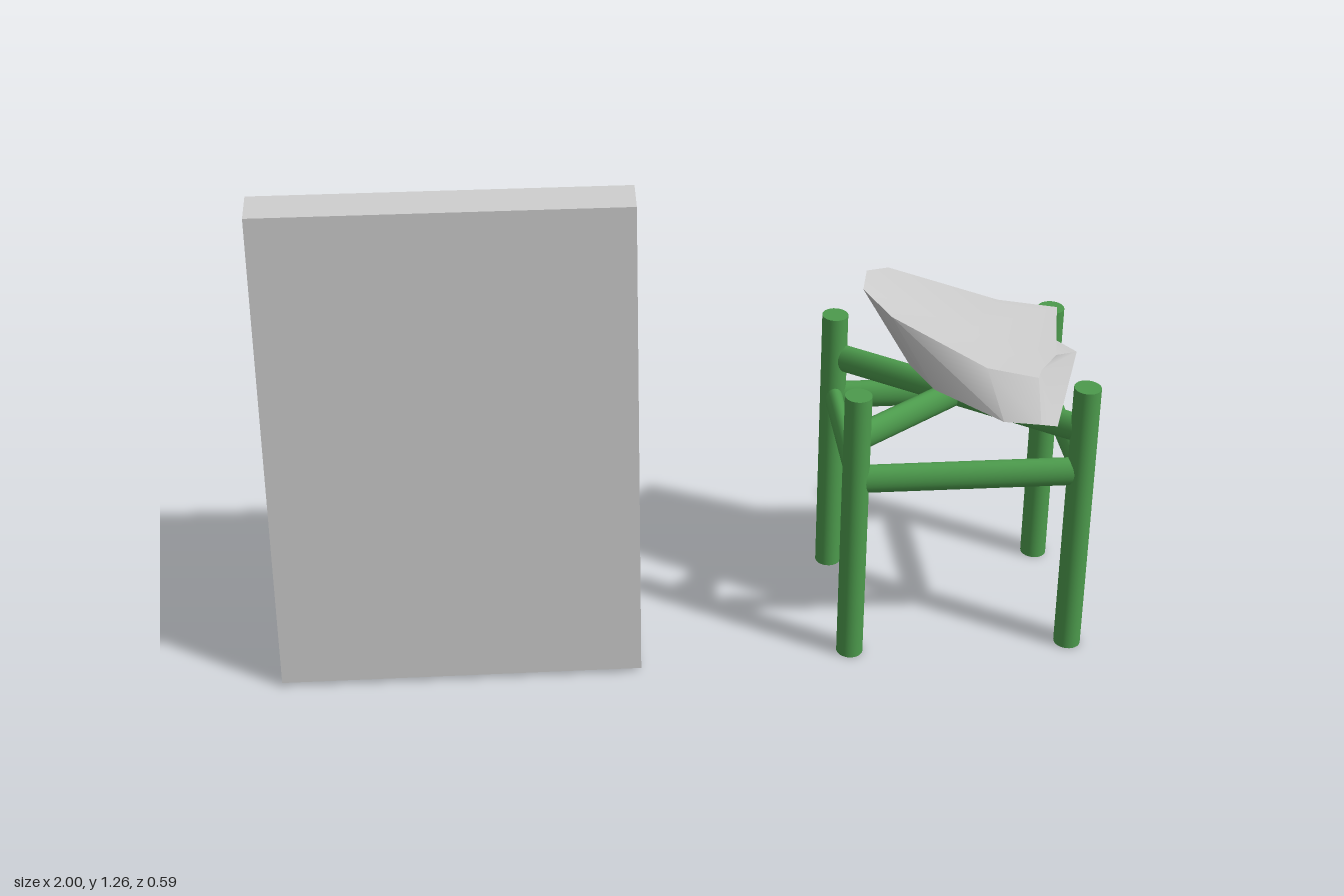
import * as THREE from 'three';
import { toCreasedNormals } from 'three/addons/utils/BufferGeometryUtils.js';

const grey = new THREE.MeshStandardMaterial({ color: 0xcccccc });
const green = new THREE.MeshStandardMaterial({ color: 0x4c9a4c });

function addMesh(parent, name, geometry, material) {
  const mesh = new THREE.Mesh(geometry, material);
  mesh.name = name;
  parent.add(mesh);
  return mesh;
}

// Bench: one side profile (z, y) extruded along x
function createBench() {
  const profile = [[0.265, 0.01], [0.245, 1.25], [0.155, 1.265], [0.07, 0.715], [-0.295, 0.63], [-0.295, 0.01]];
  const shape = new THREE.Shape(profile.map(([z, y]) => new THREE.Vector2(-z, y)));
  const geometry = new THREE.ExtrudeGeometry(shape, { depth: 0.885, bevelEnabled: false });
  geometry.rotateY(Math.PI / 2).translate(-1, 0, 0);
  // soft crease between backrest and seat, other edges sharp
  const bench = new THREE.Group();
  bench.name = 'bench';
  addMesh(bench, 'benchBody', toCreasedNormals(geometry, 1.25), grey);
  return bench;
}

// Oval bar between two points at one height
function addBar(parent, name, a, b, y, halfWidth) {
  const dx = b[0] - a[0], dz = b[1] - a[1];
  const geometry = new THREE.CylinderGeometry(1, 1, Math.hypot(dx, dz), 24);
  geometry.scale(0.0365, 1, halfWidth).rotateZ(Math.PI / 2);
  geometry.rotateY(Math.atan2(-dz, dx));
  geometry.translate((a[0] + b[0]) / 2, y, (a[1] + b[1]) / 2);
  addMesh(parent, name, geometry, green);
}

// Stool frame: four legs, four side rails, two crossed braces
function createFrame() {
  const frame = new THREE.Group();
  frame.name = 'stoolFrame';
  const corners = [[0.413, 0.207], [0.967, 0.207], [0.967, -0.229], [0.413, -0.229]];
  corners.forEach((corner, i) => {
    const leg = new THREE.CylinderGeometry(1, 1, 0.725, 24);
    leg.scale(0.033, 1, 0.0365).translate(corner[0], 0.3625, corner[1]);
    addMesh(frame, 'leg', leg, green);
    addBar(frame, 'sideRail', corner, corners[(i + 1) % 4], 0.495, i % 2 ? 0.022 : 0.027);
  });
  addBar(frame, 'crossBrace', corners[0], corners[2], 0.609, 0.025);
  addBar(frame, 'crossBrace', corners[1], corners[3], 0.609, 0.025);
  return frame;
}

// Faceted seat: a raised rim and a smaller lower ring, each closed to a centre point
function createSeat() {
  const rim = [
    [0.548, 0.84, -0.255], [0.468, 0.91, -0.095], [0.445, 0.91, 0.01], [0.5, 0.886, 0.117], [0.714, 0.8, 0.232],
    [0.84, 0.768, 0.23], [0.86, 0.758, 0.17], [0.91, 0.76, 0.1], [0.95, 0.79, -0.1], [0.805, 0.803, -0.126],
  ];
  const lower = [
    [0.54, 0.7, -0.265], [0.55, 0.735, -0.08], [0.56, 0.72, 0.05], [0.6, 0.715, 0.17], [0.75, 0.685, 0.29],
    [0.84, 0.675, 0.293], [0.89, 0.645, 0.25], [0.982, 0.72, 0.01], [0.94, 0.71, -0.09], [0.82, 0.675, -0.115],
  ];
  const top = [0.71, 0.787, 0], bottom = [0.73, 0.65, 0];
  const positions = [];
  rim.forEach((r, i) => {
    const j = (i + 1) % rim.length;
    positions.push(...top, ...r, ...rim[j]);
    positions.push(...r, ...lower[i], ...lower[j], ...r, ...lower[j], ...rim[j]);
    positions.push(...bottom, ...lower[j], ...lower[i]);
  });
  const geometry = new THREE.BufferGeometry();
  geometry.setAttribute('position', new THREE.Float32BufferAttribute(positions, 3));
  return toCreasedNormals(geometry, 0.6);
}

export function createModel() {
  const model = new THREE.Group();
  model.name = 'benchAndStool';
  const stool = new THREE.Group();
  stool.name = 'stool';
  stool.add(createFrame());
  addMesh(stool, 'seat', createSeat(), grey);
  model.add(createBench(), stool);
  return model;
}
